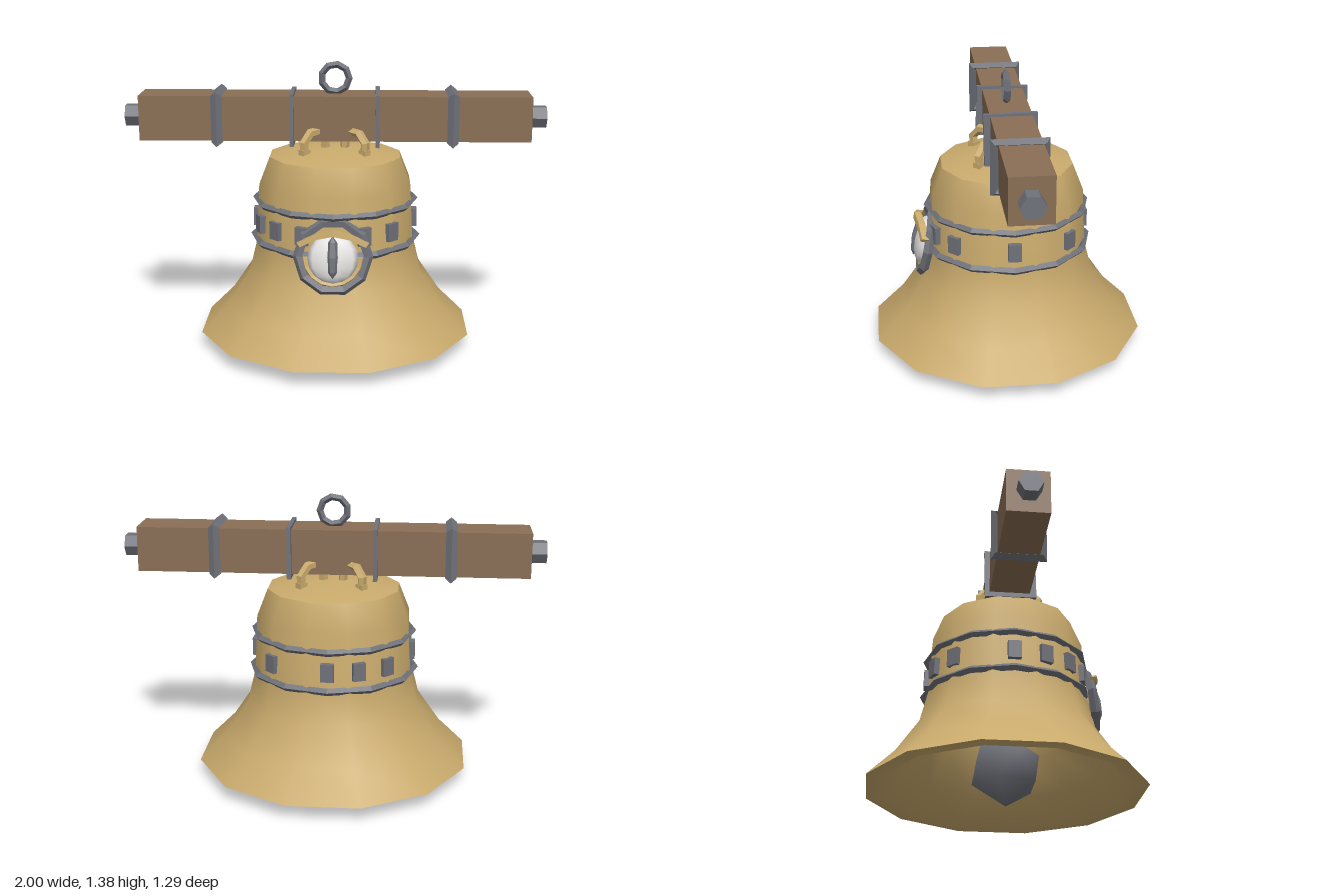
import * as THREE from 'three';

const mat = (name, color) => {
  const m = new THREE.MeshStandardMaterial({ color });
  m.name = name;
  return m;
};

export function createModel() {
  const gold = mat('gold', 0xc9aa6c);
  const wood = mat('wood', 0x8a6f55);
  const metal = mat('metal', 0x70727a);
  const white = mat('white', 0xe4e2e0);

  const root = new THREE.Group();
  root.name = 'bell';
  const add = (name, geo, material, parent = root) => {
    const mesh = new THREE.Mesh(geo, material);
    mesh.name = name;
    parent.add(mesh);
    return mesh;
  };
  // Facet a geometry by splitting its vertices
  const facet = (geo) => {
    const g = geo.index ? geo.toNonIndexed() : geo;
    g.computeVertexNormals();
    return g;
  };

  // Twelve-sided shells; profile radii are measured to the flats
  const lathe = (pts) => new THREE.LatheGeometry(
    pts.map(([r, y]) => new THREE.Vector2(r / Math.cos(Math.PI / 12), y)), 12, Math.PI / 12);
  add('bellBody', lathe([[0.645, 0.073], [0.52, 0.203], [0.413, 0.366], [0.373, 0.53], [0.36, 0.8], [0.31, 0.93]]), gold);
  add('bellCrown', lathe([[0.31, 0.93], [0.16, 0.968], [0, 0.978]]), gold);
  // Thick inner wall running out into the flat rim
  add('bellInside', lathe([[0, 0.9], [0.26, 0.87], [0.305, 0.78], [0.318, 0.53], [0.355, 0.366],
    [0.455, 0.2], [0.573, 0.075], [0.645, 0.073]]), gold);

  // Iron bands, their corners over the flats of the bell
  const band = (name, y, radius, tube) => {
    add(name, facet(new THREE.TorusGeometry(radius, tube, 4, 12).rotateX(Math.PI / 2)), metal).position.y = y;
  };
  band('upperBand', 0.715, 0.383, 0.017);
  band('lowerBand', 0.53, 0.394, 0.018);

  // Plaques between the bands, angles measured from the front
  for (const deg of [-22, 22, 45, 90, 135, 180, -158, -135, -90, -67, -45]) {
    const a = THREE.MathUtils.degToRad(deg);
    const plaque = add('plaque', new THREE.BoxGeometry(0.062, 0.085, 0.04), metal);
    plaque.position.set(Math.sin(a) * 0.375, 0.62, Math.cos(a) * 0.375);
    plaque.rotation.y = a;
  }

  // Four chunky hanger loops on the crown
  const loopPath = new THREE.CatmullRomCurve3(
    [[0.14, 0.95], [0.146, 0.99], [0.134, 1.035], [0.085, 1.062], [0.052, 1.03], [0.045, 0.95]]
      .map(([d, y]) => new THREE.Vector3(d * Math.SQRT2, y, 0)));
  for (let i = 0; i < 4; i++) {
    const a = Math.PI / 4 + i * Math.PI / 2;
    const loop = add('hangerLoop', facet(new THREE.TubeGeometry(loopPath, 5, 0.022, 5)), gold);
    loop.rotation.y = a;
    const foot = add('hangerFoot', new THREE.BoxGeometry(0.042, 0.026, 0.038), gold);
    foot.position.set(Math.cos(a) * 0.2, 0.966, -Math.sin(a) * 0.2);
    foot.rotation.y = a;
  }

  // Beam with end pegs, ridged outer collars and flat inner straps
  add('beam', new THREE.BoxGeometry(1.85, 0.213, 0.195), wood).position.set(0, 1.116, -0.003);
  const ridged = facet(new THREE.TorusGeometry(0.156, 0.027, 4, 4).rotateZ(Math.PI / 4).rotateY(Math.PI / 2));
  const flat = facet(new THREE.CylinderGeometry(0.176, 0.176, 0.02, 4).rotateY(Math.PI / 4).rotateZ(Math.PI / 2));
  const pegGeo = facet(new THREE.CylinderGeometry(0.056, 0.056, 0.1, 6).rotateZ(Math.PI / 2));
  for (const s of [-1, 1]) {
    add('endPeg', pegGeo, metal).position.set(s * 0.95, 1.116, 0);
    add('collar', ridged, metal).position.set(s * 0.555, 1.116, 0);
    const strap = add('strap', flat, metal);
    strap.position.set(s * 0.202, 1.111, 0);
    strap.rotation.x = s * 0.02;
  }

  // Lifting ring
  add('liftingRing', facet(new THREE.TorusGeometry(0.066, 0.0165, 4, 9)), metal).position.set(0, 1.296, 0);

  // Clapper: a smooth-shaded twenty-sided ball standing on one corner
  const ball = new THREE.IcosahedronGeometry(0.178, 0).rotateX(-Math.atan((1 + Math.sqrt(5)) / 2));
  ball.attributes.normal.copy(ball.attributes.position);
  ball.normalizeNormals();
  add('clapperBall', ball, metal).position.y = 0.178;
  add('clapperRod', new THREE.CylinderGeometry(0.025, 0.025, 0.6, 6), metal).position.y = 0.61;

  // Eye ornament leaning with the front of the bell
  const eye = new THREE.Group();
  eye.name = 'eyeOrnament';
  eye.position.set(0, 0.536, 0.392);
  eye.rotation.x = -0.2;
  root.add(eye);
  add('eyeRing', facet(new THREE.TorusGeometry(0.161, 0.024, 5, 10)), metal, eye);
  add('eyeball', new THREE.SphereGeometry(0.117, 10, 8).scale(1, 0.98, 0.38), white, eye).position.set(0, -0.008, 0.014);
  add('lowerLid', facet(new THREE.TorusGeometry(0.13, 0.02, 5, 8, Math.PI).rotateZ(Math.PI)), gold, eye);
  add('pupil', facet(new THREE.SphereGeometry(1, 6, 4).scale(0.029, 0.098, 0.026)), metal, eye).position.z = 0.048;

  // Arched brow, pushed forward in the middle
  const brow = new THREE.Shape([[-0.165, 0.065], [-0.15, 0.045], [-0.08, 0.08], [0, 0.097], [0.08, 0.08],
    [0.15, 0.045], [0.165, 0.065], [0.08, 0.108], [0, 0.13], [-0.08, 0.108]].map(([x, y]) => new THREE.Vector2(x, y)));
  const browGeo = new THREE.ExtrudeGeometry(brow, { depth: 0.034, bevelEnabled: false });
  const bp = browGeo.attributes.position;
  for (let i = 0; i < bp.count; i++) {
    bp.setZ(i, bp.getZ(i) + 0.005 + 0.042 * (1 - Math.abs(bp.getX(i)) / 0.165));
  }
  add('brow', facet(browGeo), gold, eye);

  return root;
}
